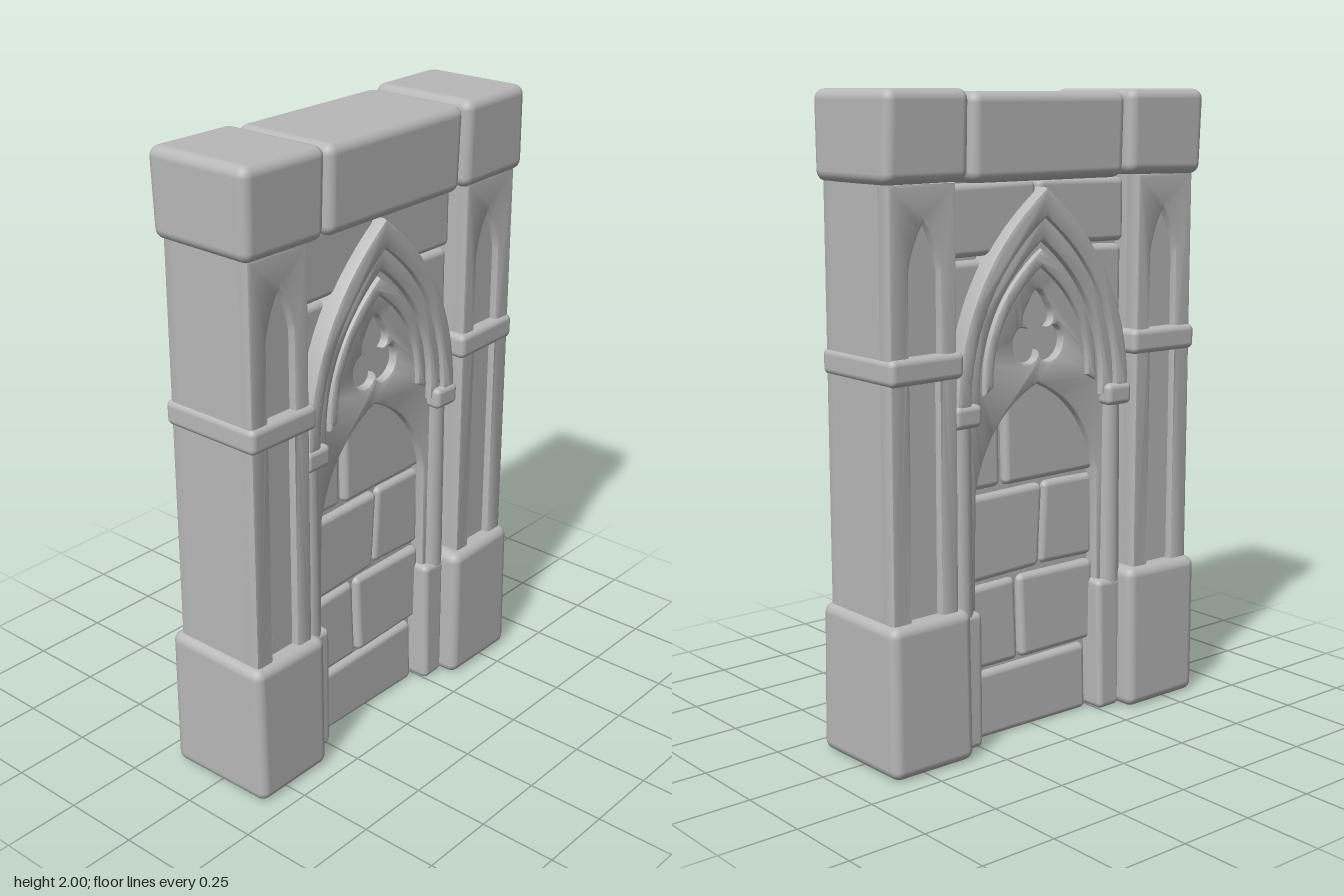
import * as THREE from 'three';
import { toCreasedNormals } from 'three/addons/utils/BufferGeometryUtils.js';
import { RoundedBoxGeometry } from 'three/addons/geometries/RoundedBoxGeometry.js';

const stone = new THREE.MeshStandardMaterial({ color: 0xb8b8b8 });
stone.name = 'grey stone';

function add(parent, name, geometry) {
  const mesh = new THREE.Mesh(geometry, stone);
  mesh.name = name;
  parent.add(mesh);
  return mesh;
}

// Rounded block given by its limits, with slightly uneven hewn faces
function block(parent, name, [x0, x1], [y0, y1], [z0, z1], radius = 0.02, wobble = 0.004) {
  const g = new RoundedBoxGeometry(x1 - x0, y1 - y0, z1 - z0, 3, radius);
  g.translate((x0 + x1) / 2, (y0 + y1) / 2, (z0 + z1) / 2);
  const p = g.attributes.position;
  for (let i = 0; i < p.count; i++) {
    const x = p.getX(i), y = p.getY(i), z = p.getZ(i);
    p.setXYZ(i,
      x + wobble * Math.sin(9 * y + 7 * z),
      y + (y > 0.05 && y < 1.95 ? wobble * Math.sin(8 * x + 11 * z) : 0),
      z + wobble * Math.sin(10 * x + 9 * y));
  }
  return add(parent, name, g);
}

// Bevelled plate from z0 to z1 that keeps the drawn outline
function plate(parent, name, shape, z0, z1, bevel = 0.012) {
  const g = new THREE.ExtrudeGeometry(shape, {
    depth: z1 - z0 - 2 * bevel, bevelThickness: bevel, bevelSize: bevel,
    bevelOffset: -bevel, bevelSegments: 2, curveSegments: 14,
  });
  g.translate(0, 0, z0 + bevel);
  return add(parent, name, toCreasedNormals(g, 0.6));
}

// Half width w, springing height y, apex height top; shoulder sets the swell
function archLine(path, w, y, top, shoulder, forward = true) {
  const s = forward ? 1 : -1;
  const cy = y + (top - y) * 0.62;
  path.quadraticCurveTo(s * shoulder, cy, 0, top);
  path.quadraticCurveTo(-s * shoulder, cy, -s * w, y);
}

// Pointed arch band between an outer and an inner curve
function archBand(outer, inner) {
  const s = new THREE.Shape();
  s.moveTo(outer[0], outer[1]);
  archLine(s, ...outer);
  s.lineTo(-inner[0], inner[1]);
  archLine(s, ...inner, false);
  s.closePath();
  return s;
}

// Three round lobes joined at narrow cusps, with a pointed top
function trefoil(cx, cy) {
  const pts = [];
  for (let i = 0; i < 72; i++) {
    const a = (i / 72) * Math.PI * 2;
    const lobe = Math.abs(Math.cos(1.5 * (a - Math.PI / 2)));
    let r = 0.045 + 0.06 * Math.sqrt(lobe);
    r += 0.035 * Math.max(0, Math.sin(a)) ** 24;
    pts.push(new THREE.Vector2(cx + r * Math.cos(a), cy + r * Math.sin(a)));
  }
  return new THREE.Path(pts);
}

// Pillar face with a long groove below and a pointed niche above
function pillarFace() {
  const s = new THREE.Shape();
  s.moveTo(0.36, 0.44).lineTo(0.6, 0.44).lineTo(0.6, 1.74).lineTo(0.36, 1.74).closePath();
  const groove = new THREE.Path();
  groove.moveTo(0.425, 0.47).lineTo(0.425, 1.19).lineTo(0.53, 1.19).lineTo(0.53, 0.47).closePath();
  const niche = new THREE.Path();
  niche.moveTo(0.42, 1.23).lineTo(0.42, 1.49);
  niche.quadraticCurveTo(0.435, 1.57, 0.475, 1.63);
  niche.quadraticCurveTo(0.515, 1.57, 0.53, 1.49);
  niche.lineTo(0.53, 1.23).closePath();
  s.holes.push(groove, niche);
  return s;
}

// Carved relief that is repeated on both faces of the wall
function createFace() {
  const face = new THREE.Group();

  // Masonry: [x range, y range, front z]
  const bricks = [
    [[-0.26, 0.225], [0, 0.22], 0.08], [[-0.26, -0.06], [0.23, 0.5], 0.075],
    [[-0.05, 0.26], [0.23, 0.5], 0.08], [[-0.26, 0.035], [0.515, 0.785], 0.08],
    [[0.045, 0.26], [0.515, 0.785], 0.072], [[-0.26, -0.125], [0.8, 1.12], 0.07],
    [[-0.115, 0.26], [0.8, 1.12], 0.08], [[-0.36, -0.005], [1.515, 1.73], 0.1],
    [[0.005, 0.36], [1.53, 1.73], 0.1], [[-0.36, -0.2], [1.06, 1.505], 0.09],
    [[0.2, 0.36], [1.06, 1.52], 0.09],
  ];
  for (const [x, y, z] of bricks) block(face, 'brick', x, y, [0, z]);

  // Tracery panel: pointed head, rounded opening below, trefoil cut-out
  const panel = new THREE.Shape();
  panel.moveTo(0.3, 0.42).lineTo(0.3, 1.06);
  archLine(panel, 0.3, 1.06, 1.62, 0.3);
  panel.lineTo(-0.3, 0.42).lineTo(-0.25, 0.42).lineTo(-0.245, 0.8);
  panel.quadraticCurveTo(-0.2, 1.03, 0, 1.11);
  panel.quadraticCurveTo(0.2, 1.03, 0.245, 0.8);
  panel.lineTo(0.25, 0.42).closePath();
  panel.holes.push(trefoil(0, 1.26));
  plate(face, 'traceryPanel', panel, 0.02, 0.105);
  add(face, 'trefoilBack', new THREE.BoxGeometry(0.32, 0.36, 0.06)).position.set(0, 1.29, 0.045);

  // Stepped mouldings of the pointed arch
  plate(face, 'outerArch', archBand([0.345, 1.05, 1.71, 0.345], [0.29, 1.05, 1.62, 0.3]), 0.02, 0.145);
  plate(face, 'middleArch', archBand([0.3, 1.05, 1.635, 0.31], [0.245, 1.05, 1.55, 0.265]), 0.02, 0.128);
  plate(face, 'innerArch', archBand([0.225, 1.1, 1.525, 0.235], [0.19, 1.12, 1.47, 0.195]), 0.02, 0.122, 0.009);

  for (const side of [-1, 1]) {
    const range = (a, b) => (side > 0 ? [a, b] : [-b, -a]);
    // Arch jambs: plinth, round shaft and capital
    block(face, 'jambPlinth', range(0.24, 0.335), [0, 0.44], [0, 0.13]);
    const shaft = add(face, 'jambShaft', new THREE.CylinderGeometry(0.038, 0.042, 0.62, 16));
    shaft.position.set(side * 0.303, 0.73, 0.09);
    block(face, 'jambCapital', range(0.255, 0.355), [1.015, 1.085], [0, 0.152], 0.018, 0.002);
    block(face, 'jambBacking', range(0.28, 0.37), [0.02, 1.1], [0, 0.085]);

    // Pillar fronts
    const shape = pillarFace();
    if (side < 0) {
      const flip = (pts) => pts.map((p) => new THREE.Vector2(-p.x, p.y));
      const { shape: outline, holes } = shape.extractPoints(8);
      const mirrored = new THREE.Shape(flip(outline));
      mirrored.holes = holes.map((h) => new THREE.Path(flip(h)));
      plate(face, 'pillarFace', mirrored, 0.1, 0.163);
    } else plate(face, 'pillarFace', shape, 0.1, 0.163);
  }
  return face;
}

export function createModel() {
  const model = new THREE.Group();
  model.name = 'gothicWallSection';

  // Inner wall
  add(model, 'wallCore', new THREE.BoxGeometry(0.76, 1.75, 0.11)).position.y = 0.885;

  // Pillars with base blocks and collars
  for (const side of [-1, 1]) {
    const range = (a, b) => (side > 0 ? [a, b] : [-b, -a]);
    block(model, 'pillarCore', range(0.36, 0.6), [0.42, 1.78], [-0.138, 0.138], 0.01, 0);
    block(model, 'pillarBase', range(0.322, 0.622), [0, 0.47], [-0.189, 0.189], 0.032, 0.003);
    block(model, 'pillarCollar', range(0.34, 0.608), [1.17, 1.25], [-0.176, 0.176], 0.02, 0.002);
  }

  // Coping stones along the top
  block(model, 'leftCap', [0.322, 0.622], [1.735, 2], [-0.186, 0.184], 0.032, 0.004);
  block(model, 'rightCap', [-0.622, -0.305], [1.735, 2], [-0.186, 0.184], 0.032, 0.004);
  block(model, 'lintel', [-0.29, 0.312], [1.73, 1.992], [-0.182, 0.178], 0.032, 0.004);
  add(model, 'capJoint', new THREE.BoxGeometry(0.74, 0.19, 0.26)).position.y = 1.84;

  // Same relief on the front and, turned round, on the back
  for (const [name, turn] of [['frontRelief', 0], ['backRelief', Math.PI]]) {
    const face = createFace();
    face.name = name;
    face.rotation.y = turn;
    model.add(face);
  }
  return model;
}
